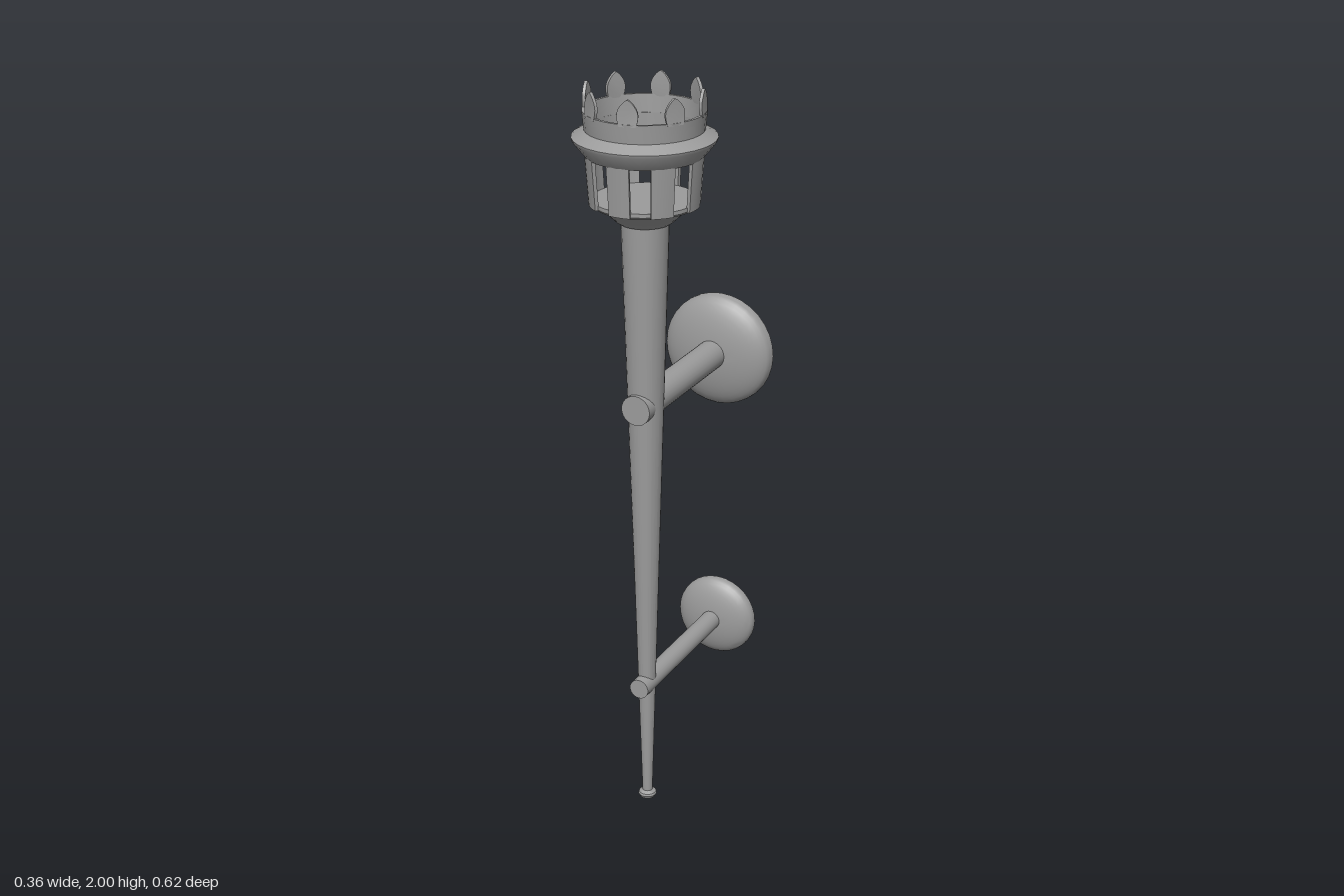
import * as THREE from 'three';
import { toCreasedNormals } from 'three/addons/utils/BufferGeometryUtils.js';

const AXIS_Z = 0.132; // the torch stands in front of the wall plates
const material = new THREE.MeshStandardMaterial({ color: 0x9c9c9c });

function part(name, geometry, parent) {
  const mesh = new THREE.Mesh(geometry, material);
  mesh.name = name;
  parent.add(mesh);
  return mesh;
}

// Turned solid from [radius, height] pairs, listed bottom to top on the outside
function turned(points, segments = 32) {
  const profile = points.map(([r, y]) => new THREE.Vector2(r, y));
  return toCreasedNormals(new THREE.LatheGeometry(profile, segments), 0.5);
}

// Wraps a flat plate (x across, y up, z outwards) onto a cone about the y axis
function wrap(geometry, radius, slope) {
  const p = geometry.attributes.position;
  for (let i = 0; i < p.count; i++) {
    const a = p.getX(i) / radius;
    const r = radius + p.getZ(i) + slope * p.getY(i);
    p.setXYZ(i, r * Math.sin(a), p.getY(i), r * Math.cos(a));
  }
  geometry.computeVertexNormals();
  return toCreasedNormals(geometry, 0.5);
}

// Repeats one plate evenly around the axis
function around(name, geometry, count, y, offset, parent) {
  for (let i = 0; i < count; i++) {
    const mesh = part(name, geometry, parent);
    mesh.position.y = y;
    mesh.rotation.y = offset + (i * Math.PI * 2) / count;
  }
}

// Round wall plate with a domed face, and the rod that passes through the shaft
function bracket(name, y, rodRadius, rodFront, plateRadius, dome, parent) {
  const group = new THREE.Group();
  group.name = name;
  group.position.y = y;
  const back = -0.313;
  const points = [[0, 0], [plateRadius, 0], [plateRadius, dome * 0.16]];
  for (let i = 1; i <= 10; i++) {
    const a = (i / 10) * Math.PI / 2;
    points.push([plateRadius * Math.cos(a), dome * (0.16 + 0.84 * Math.sin(a))]);
  }
  const plate = part('wallPlate', turned(points), group);
  plate.rotation.x = Math.PI / 2;
  plate.position.z = back;

  const start = back + 0.03;
  const rod = part('rod', new THREE.CylinderGeometry(rodRadius, rodRadius, rodFront - start, 24), group);
  rod.rotation.x = Math.PI / 2;
  rod.position.z = (rodFront + start) / 2;
  parent.add(group);
}

export function createModel() {
  const model = new THREE.Group();
  model.name = 'wallTorch';
  const torch = new THREE.Group();
  torch.name = 'torch';
  torch.position.z = AXIS_Z;
  model.add(torch);

  // Tapered shaft with a small knob at its foot
  part('shaft', turned([[0, 0.015], [0.013, 0.015], [0.061, 1.665], [0, 1.665]], 24), torch);
  part('footKnob', turned([
    [0, 0], [0.012, 0.001], [0.02, 0.006], [0.025, 0.015], [0.023, 0.021], [0.013, 0.027], [0, 0.027],
  ], 24), torch);

  // Cup with a flat floor under the cage
  part('cup', turned([
    [0, 1.655], [0.065, 1.655], [0.075, 1.662], [0.108, 1.694], [0.127, 1.7],
    [0.132, 1.706], [0.132, 1.716], [0, 1.716],
  ]), torch);

  // Open cage of upright bars, standing just outside the cup
  const bar = new THREE.BoxGeometry(0.056, 0.13, 0.01, 4, 1, 1).translate(0, 0.065, 0);
  around('cageBar', wrap(bar, 0.134, 0.07), 8, 1.704, 0, torch);

  // Flared collar, and the crown band above it
  part('collar', turned([
    [0.142, 1.828], [0.147, 1.828], [0.178, 1.866], [0.18, 1.874], [0.148, 1.893],
    [0.142, 1.893], [0.142, 1.828],
  ]), torch);
  part('crownBand', turned([
    [0.142, 1.885], [0.148, 1.885], [0.153, 1.94], [0.145, 1.94], [0.142, 1.885],
  ]), torch);

  // Lancet-shaped crown points
  const lancet = new THREE.Shape();
  lancet.moveTo(-0.02, -0.006);
  lancet.lineTo(0.02, -0.006);
  lancet.quadraticCurveTo(0.03, 0.02, 0.022, 0.036);
  lancet.quadraticCurveTo(0.012, 0.054, 0, 0.06);
  lancet.quadraticCurveTo(-0.012, 0.054, -0.022, 0.036);
  lancet.quadraticCurveTo(-0.03, 0.02, -0.02, -0.006);
  const point = new THREE.ExtrudeGeometry(lancet, { depth: 0.008, bevelEnabled: false, curveSegments: 5 });
  around('crownPoint', wrap(point, 0.145, -0.04), 8, 1.94, Math.PI / 16, torch);

  // Two wall brackets
  bracket('upperBracket', 1.171, 0.04, 0.19, 0.156, 0.066, model);
  bracket('lowerBracket', 0.362, 0.027, 0.18, 0.115, 0.052, model);

  return model;
}
